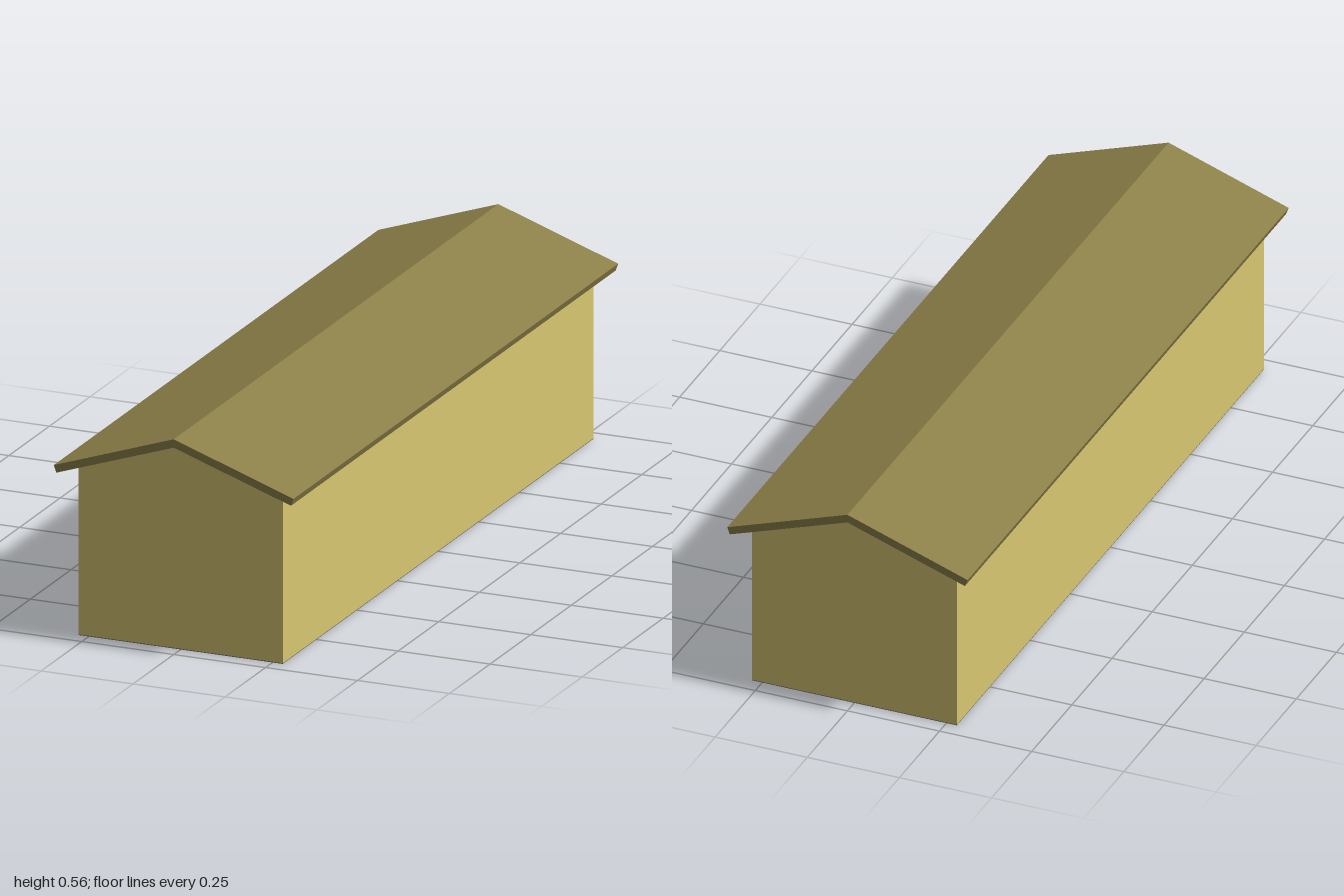
import * as THREE from 'three';

// Extrude an x/y outline along z, centred on z = 0
function prism(name, points, length, color) {
  const shape = new THREE.Shape(points.map(([x, y]) => new THREE.Vector2(x, y)));
  const geometry = new THREE.ExtrudeGeometry(shape, { depth: length, bevelEnabled: false });
  geometry.translate(0, 0, -length / 2);
  const mesh = new THREE.Mesh(geometry, new THREE.MeshStandardMaterial({ color }));
  mesh.name = name;
  return mesh;
}

export function createModel() {
  const group = new THREE.Group();
  group.name = 'longGabledBuilding';

  const halfWidth = 0.278, wallTop = 0.448, innerRidge = 0.543;
  const wallLength = 1.914, floorThickness = 0.002;

  // Walls with gable ends, meeting the underside of the roof
  group.add(prism('walls', [
    [-halfWidth, floorThickness], [halfWidth, floorThickness],
    [halfWidth, wallTop], [0, innerRidge], [-halfWidth, wallTop],
  ], wallLength, 0xd9c772));

  // Dark floor closing the underside
  const floor = new THREE.Mesh(
    new THREE.BoxGeometry(halfWidth * 2, floorThickness, wallLength),
    new THREE.MeshStandardMaterial({ color: 0x777777 }),
  );
  floor.name = 'floor';
  floor.position.y = floorThickness / 2;
  group.add(floor);

  // Two mirrored roof slopes with overhanging square-cut eaves
  for (const [name, side] of [['leftRoofSlope', 1], ['rightRoofSlope', -1]]) {
    group.add(prism(name, [
      [0, innerRidge], [side * 0.319, 0.434], [side * 0.326, 0.453], [0, 0.565],
    ], 2, 0x8c8049));
  }

  return group;
}
